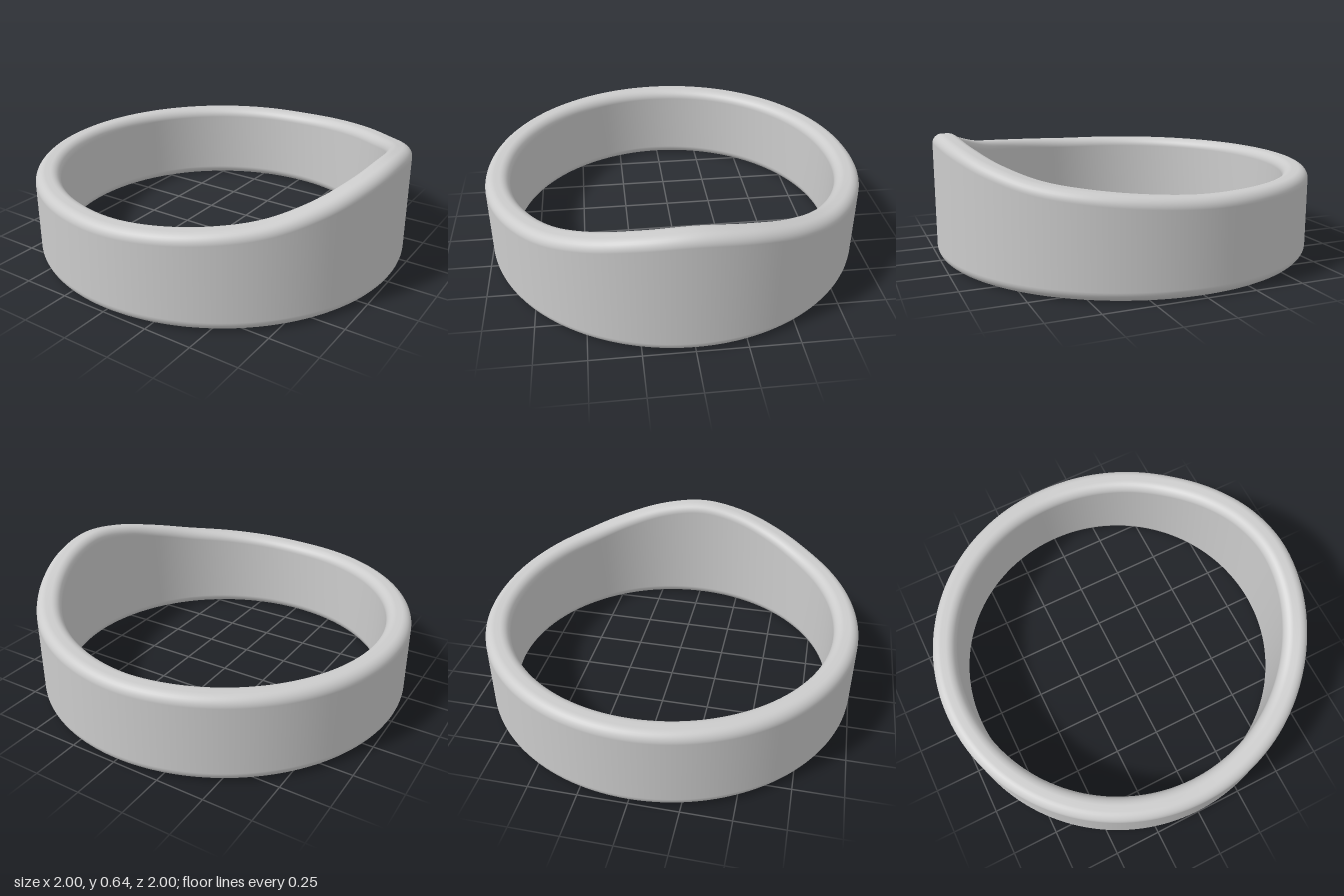
import * as THREE from 'three';
import { mergeVertices } from 'three/addons/utils/BufferGeometryUtils.js';

const OUTER = 1, INNER = 0.87, HEIGHT = 0.45, FILLET = 0.05;

// Rise of the top edge every 15 degrees away from the peak at +x
const rise = [0.195, 0.167, 0.112, 0.06, 0.033, 0.014, 0.001, 0];
const crest = new THREE.SplineCurve(
  [...rise.slice(1).reverse(), ...rise].map((h, i) => new THREE.Vector2((i - 7) * 15, h))
);

function topRise(x, z) {
  const degrees = THREE.MathUtils.radToDeg(Math.atan2(z, x));
  const t = (degrees + 105) / 210;
  return t <= 0 || t >= 1 ? 0 : crest.getPoint(t).y;
}

// Rounded rectangular cross-section of the band, running up the outside and down the inside
function bandProfile() {
  const steps = 8;
  const corners = [
    [OUTER - FILLET, FILLET, -90],
    [OUTER - FILLET, HEIGHT - FILLET, 0],
    [INNER + FILLET, HEIGHT - FILLET, 90],
    [INNER + FILLET, FILLET, 180],
  ];
  const points = [];
  for (const [cx, cy, start] of corners) {
    for (let i = 0; i <= steps; i++) {
      const a = THREE.MathUtils.degToRad(start + (i / steps) * 90);
      points.push(new THREE.Vector2(cx + FILLET * Math.cos(a), cy + FILLET * Math.sin(a)));
    }
  }
  points.push(points[0].clone());
  return points;
}

export function createModel() {
  const group = new THREE.Group();
  group.name = 'ring';

  let geometry = new THREE.LatheGeometry(bandProfile(), 192);

  // Lift the upper rim into the peak, leaving the base flat
  const pos = geometry.attributes.position;
  for (let i = 0; i < pos.count; i++) {
    const y = pos.getY(i);
    if (y > HEIGHT / 2) pos.setY(i, y + topRise(pos.getX(i), pos.getZ(i)));
  }

  // Weld the seams so the shading is continuous
  geometry.deleteAttribute('uv');
  geometry.deleteAttribute('normal');
  geometry = mergeVertices(geometry, 1e-4);
  geometry.computeVertexNormals();

  const band = new THREE.Mesh(
    geometry,
    new THREE.MeshStandardMaterial({ color: 0xcccccc })
  );
  band.name = 'peakedBand';
  group.add(band);
  return group;
}
